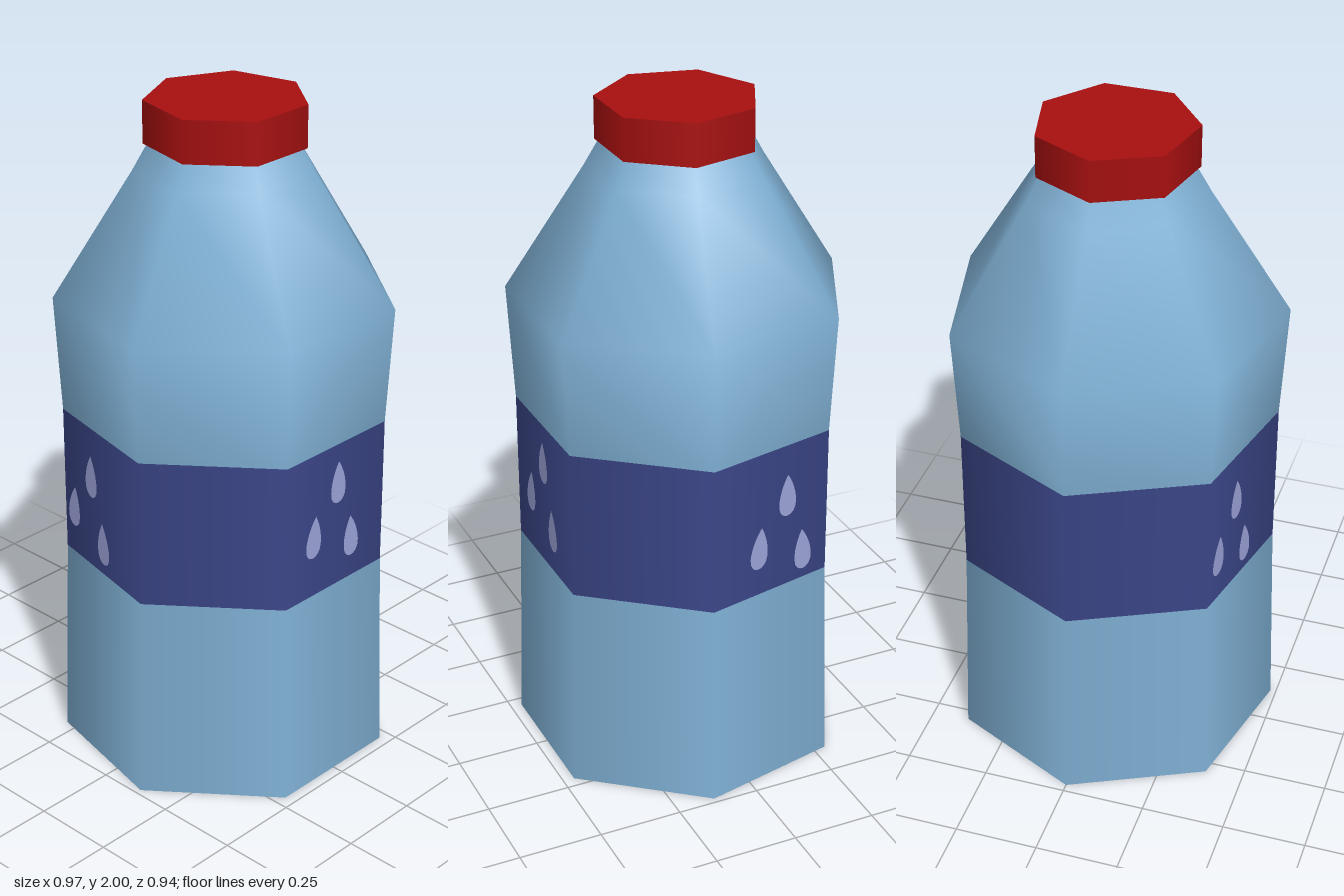
import * as THREE from 'three';

const SIDES = 7;
const BAND_RADIUS = 0.476;

const material = (name, color, side = THREE.FrontSide) => {
  const m = new THREE.MeshStandardMaterial({ color, side });
  m.name = name;
  return m;
};

export function createModel() {
  const blue = material('bottleBlue', 0x7fb0d4);
  const navy = material('labelNavy', 0x3b4688);
  const pale = material('dropPale', 0x9ba3d8, THREE.DoubleSide);
  const red = material('capRed', 0xa81010);

  const bottle = new THREE.Group();
  bottle.name = 'bottle';
  bottle.position.z = 0.02;

  const add = (name, geometry, mat, parent = bottle) => {
    const mesh = new THREE.Mesh(geometry, mat);
    mesh.name = name;
    parent.add(mesh);
    return mesh;
  };

  // Seven-sided shells with a corner at the back and a flat front
  const shell = (name, profile, mat) => {
    const points = profile.map(([r, y]) => new THREE.Vector2(r, y));
    add(name, new THREE.LatheGeometry(points, SIDES).rotateY(Math.PI), mat);
  };
  shell('lowerBody', [[0.495, 0], [BAND_RADIUS, 0.63]], blue);
  shell('label', [[BAND_RADIUS, 0.63], [BAND_RADIUS, 1.08]], navy);
  shell('upperBody', [[BAND_RADIUS, 1.08], [0.495, 1.43], [0.263, 1.8], [0.218, 1.88]], blue);

  add('base', new THREE.CircleGeometry(0.495, SIDES, -Math.PI / 2).rotateX(Math.PI / 2), blue);

  // Screw cap
  const cap = add('cap', new THREE.CylinderGeometry(0.233, 0.233, 0.125, SIDES).rotateY(Math.PI), red);
  cap.position.y = 1.9375;

  // Water drop outline, tip upwards
  const drop = new THREE.Shape();
  drop.moveTo(0, 0.068);
  drop.bezierCurveTo(0.016, 0.045, 0.031, 0.01, 0.031, -0.025);
  drop.bezierCurveTo(0.031, -0.077, -0.031, -0.077, -0.031, -0.025);
  drop.bezierCurveTo(-0.031, 0.01, -0.016, 0.045, 0, 0.068);
  const dropGeometry = new THREE.ShapeGeometry(drop, 8);

  // Three drops on the front and on the two side facets: [facet, shift x, shift y]
  const apothem = BAND_RADIUS * Math.cos(Math.PI / SIDES);
  const trio = [[0.005, 0.96, 0], [-0.095, 0.82, -0.1], [0.065, 0.765, 0.06]];
  for (const [facet, dx, dy] of [[0, 0, 0], [2, 0.05, -0.04], [-2, -0.055, -0.035]]) {
    const drops = new THREE.Group();
    drops.name = 'labelDrops';
    drops.rotation.y = (facet * 2 * Math.PI) / SIDES;
    for (const [x, y, tilt] of trio) {
      const mesh = add('drop', dropGeometry, pale, drops);
      mesh.position.set(x + dx, y + dy, apothem + 0.004);
      mesh.rotation.z = tilt;
    }
    bottle.add(drops);
  }

  const model = new THREE.Group();
  model.name = 'waterBottle';
  model.add(bottle);
  return model;
}
